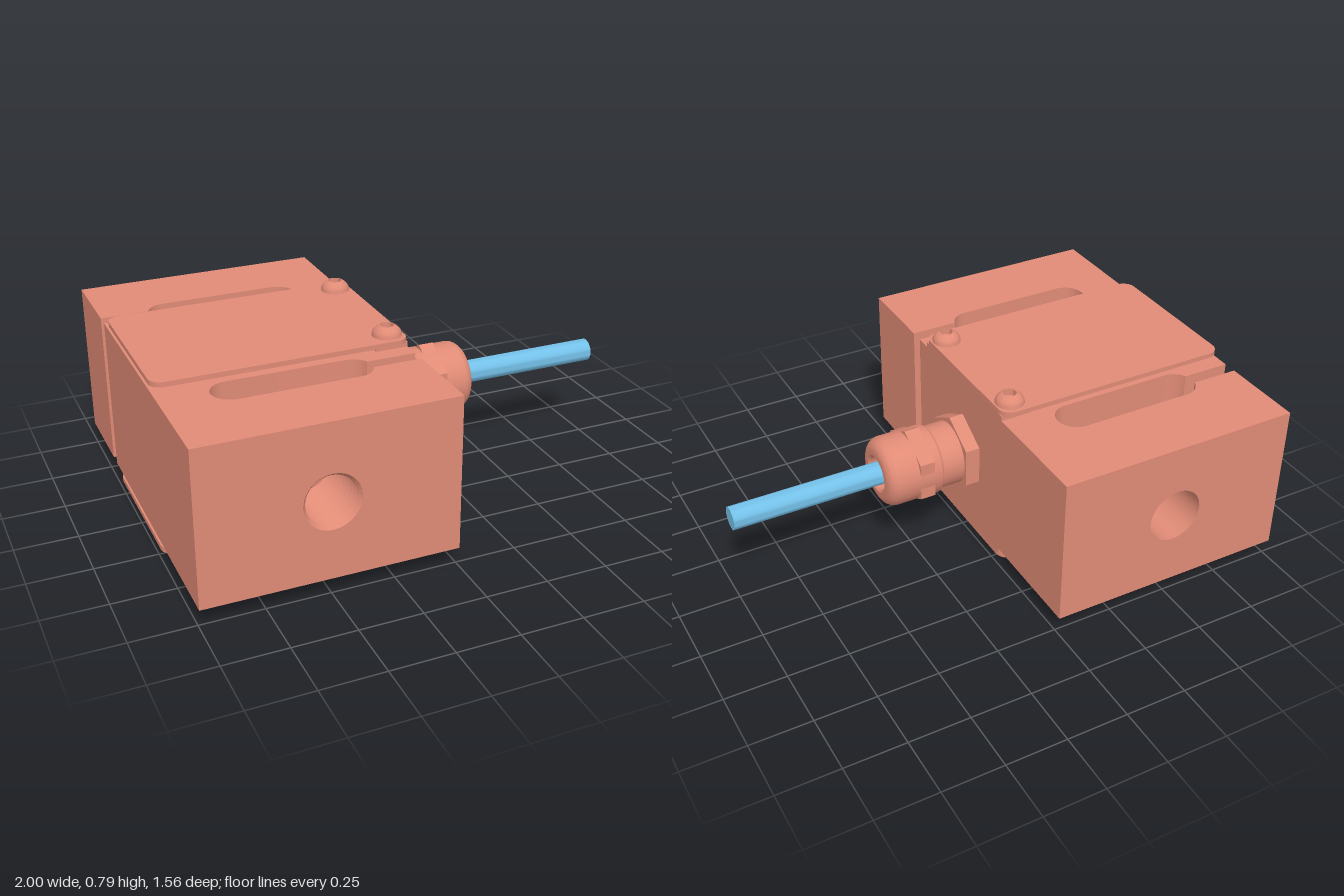
import * as THREE from 'three';
import { toCreasedNormals } from 'three/addons/utils/BufferGeometryUtils.js';

const coral = new THREE.MeshStandardMaterial({ color: 0xe08b76 });
const blue = new THREE.MeshStandardMaterial({ color: 0x74c0e8 });
const MID = 0.3925;              // height of the horizontal symmetry plane
const HALF = 0.3125;             // half height of the body
const SLOT_Z = 0.41, SLOT_R = 0.078, SEAM = SLOT_Z + SLOT_R;

function part(parent, name, geometry, material = coral) {
  const mesh = new THREE.Mesh(toCreasedNormals(geometry, 0.6), material);
  mesh.name = name;
  parent.add(mesh);
  return mesh;
}

// Points of an arc in the x/z plane
function arc(cx, cz, r, from, to, n = 16) {
  return Array.from({ length: n + 1 }, (_, i) => {
    const a = from + (to - from) * i / n;
    return new THREE.Vector2(cx + r * Math.cos(a), cz + r * Math.sin(a));
  });
}

// Extrude an x/z outline upwards from y0 to y1
function slab(points, y0, y1) {
  const g = new THREE.ExtrudeGeometry(new THREE.Shape(points), { depth: y1 - y0, bevelEnabled: false });
  return g.rotateX(Math.PI / 2).translate(0, y1, 0);
}

// Turned part along +x from [radius, x] pairs
function turned(profile, segments = 48) {
  return new THREE.LatheGeometry(profile.map(p => new THREE.Vector2(...p)), segments).rotateZ(-Math.PI / 2);
}

function hexNut(radius, x0, x1) {
  return new THREE.CylinderGeometry(radius, radius, x1 - x0, 6)
    .rotateY(Math.PI / 2).rotateZ(-Math.PI / 2).translate((x0 + x1) / 2, 0, 0);
}

function createBody(parent) {
  const V = (x, z) => new THREE.Vector2(x, z);
  const turn = p => V(-1 - p.x, -p.y);
  const right = -0.268, left = -0.732;
  const cutLow = -Math.asin(0.032 / SLOT_R), cutHigh = Math.asin(0.023 / SLOT_R);

  // S-shaped core: one side, then the same side turned half way round
  const side = [
    V(0, SLOT_Z - 0.032),
    ...arc(right, SLOT_Z, SLOT_R, cutLow, -Math.PI / 2),
    ...arc(left, SLOT_Z, SLOT_R, -Math.PI / 2, -Math.PI * 1.5, 24),
    V(-1, SEAM),
  ];
  part(parent, 'bodyCore', slab([...side, ...side.map(turn)], -HALF, HALF));

  // Lips beside the narrow saw cuts
  const lip = [V(0, SLOT_Z + 0.023), V(0, SEAM), ...arc(right, SLOT_Z, SLOT_R, Math.PI / 2, cutHigh)];
  part(parent, 'frontLip', slab(lip, -HALF, HALF));
  part(parent, 'backLip', slab(lip.map(turn), -HALF, HALF));

  // End blocks with mounting holes
  const face = new THREE.Shape([V(-1, -HALF), V(0, -HALF), V(0, HALF), V(-1, HALF)]);
  face.holes.push(new THREE.Path().absarc(-0.5, 0, 0.112, 0, Math.PI * 2, true));
  const depth = 0.78 - SEAM;
  for (const [name, z] of [['frontBlock', SEAM], ['backBlock', -0.78]]) {
    const g = new THREE.ExtrudeGeometry(face, { depth, bevelEnabled: false, curveSegments: 32 });
    part(parent, name, g.translate(0, 0, z));
  }

  // Thread ridges inside the front hole
  const ridges = [], count = 9;
  for (let i = 0; i <= count * 2; i++) {
    ridges.push(V(i % 2 ? 0.098 : 0.1115, depth * (1 - i / (count * 2))));
  }
  part(parent, 'frontThread', new THREE.LatheGeometry(ridges, 40)
    .rotateX(Math.PI / 2).translate(-0.5, 0, SEAM));
}

// Spacer, cover plate and two button screws for one side
function createCover(name) {
  const cover = new THREE.Group();
  cover.name = name;
  const spacer = new THREE.BoxGeometry(0.13, 0.022, 0.62).translate(-0.065, HALF + 0.01, 0);
  part(cover, 'spacer', spacer);

  const r = 0.05, w = 0.333, q = Math.PI / 2;
  const outline = [
    ...arc(-r, w - r, r, 0, q, 8), ...arc(-1 + r, w - r, r, q, 2 * q, 8),
    ...arc(-1 + r, -w + r, r, 2 * q, 3 * q, 8), ...arc(-r, -w + r, r, 3 * q, 4 * q, 8),
  ];
  part(cover, 'coverPlate', slab(outline, HALF + 0.02, HALF + 0.04));

  const head = [[0.058, 0], [0.057, 0.010], [0.052, 0.021], [0.043, 0.031], [0.033, 0.038],
    [0.025, 0.040]].map(p => new THREE.Vector2(...p));
  const socket = [[0.025, 0.040], [0.024, 0.015], [0, 0.012]].map(p => new THREE.Vector2(...p));
  for (const z of [-0.26, 0.26]) {
    const screw = new THREE.Group();
    screw.name = 'screw';
    part(screw, 'screwHead', new THREE.LatheGeometry(head, 32));
    part(screw, 'screwSocket', new THREE.LatheGeometry(socket, 32));
    screw.position.set(-0.064, HALF + 0.04, z);
    cover.add(screw);
  }
  return cover;
}

function createGland() {
  const gland = new THREE.Group();
  gland.name = 'cableGland';
  part(gland, 'baseNut', hexNut(0.163, 0, 0.06));
  part(gland, 'glandNeck', turned([[0.13, 0.05], [0.13, 0.15], [0.124, 0.156], [0.124, 0.17]]));

  // Domed cap with an open mouth around the cable
  const dome = arc(0.093, 0.34, 0.05, 0, Math.PI / 2, 10).map(p => [p.x, p.y]);
  part(gland, 'domeNut', turned([
    [0.12, 0.157], [0.138, 0.157], [0.143, 0.163], ...dome, [0.078, 0.39], [0.07, 0.382], [0.07, 0.31], [0.04, 0.31],
  ]));
  part(gland, 'capNut', hexNut(0.161, 0.197, 0.26));
  part(gland, 'cable', new THREE.CylinderGeometry(0.047, 0.047, 0.7, 32)
    .rotateZ(-Math.PI / 2).translate(0.65, 0, 0), blue);
  return gland;
}

export function createModel() {
  const model = new THREE.Group();
  model.name = 'loadCell';
  const body = new THREE.Group();
  body.name = 'body';
  createBody(body);
  const bottom = createCover('bottomCover');
  bottom.rotation.x = Math.PI;
  model.add(body, createCover('topCover'), bottom, createGland());
  for (const child of model.children) child.position.y = MID;
  return model;
}
